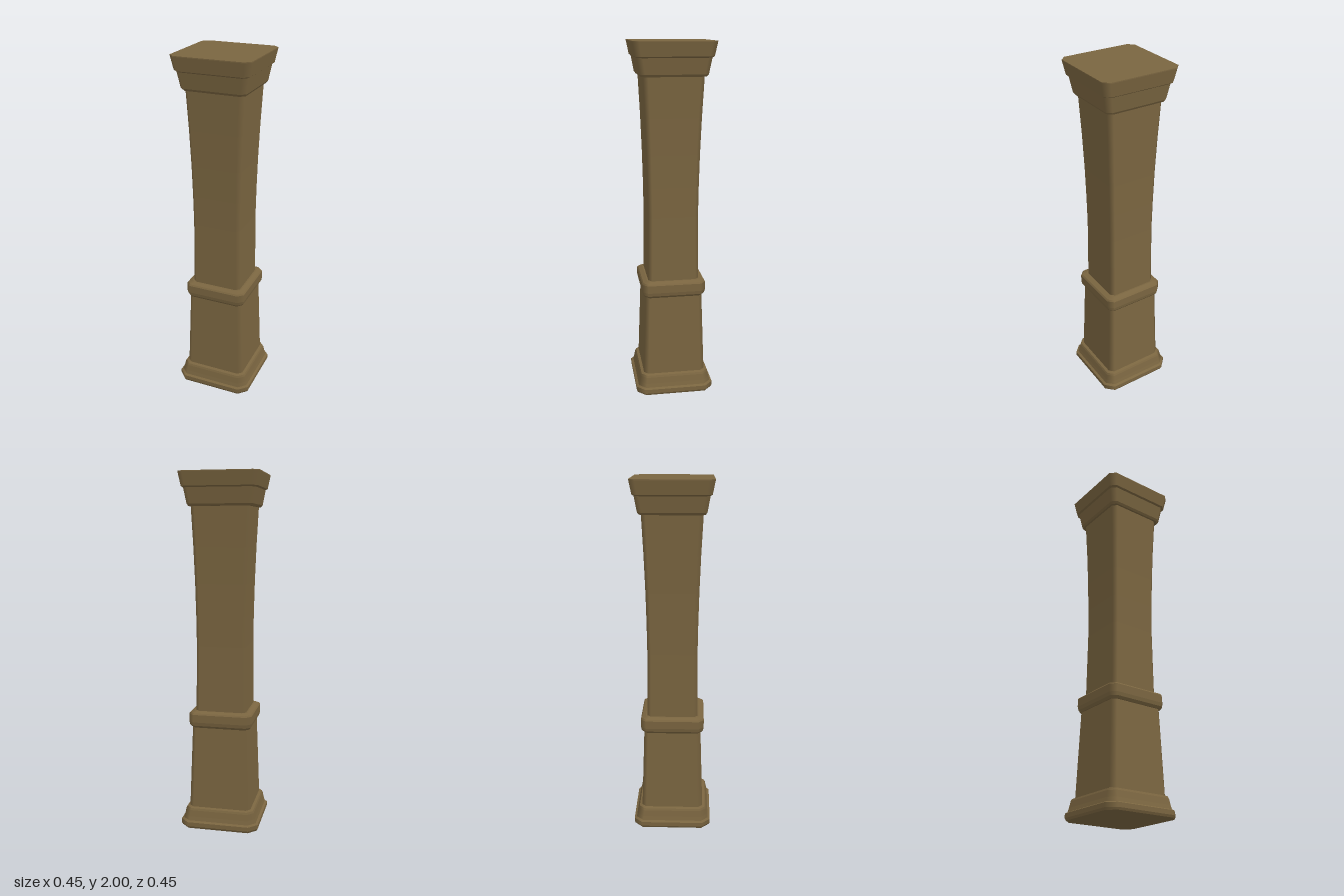
import * as THREE from 'three';

// Square column section with softly shaded chamfered corners, lofted along
// rows of [half width, height, chamfer], listed from bottom to top.
function loft(rows) {
  const positions = [], normals = [], indices = [];
  const addRing = ([half, y, chamfer], out, up) => {
    for (let k = 0; k < 4; k++) {
      const c = Math.round(Math.cos(k * Math.PI / 2));
      const s = Math.round(Math.sin(k * Math.PI / 2));
      for (const t of [-(half - chamfer), half - chamfer]) {
        positions.push(c * half - s * t, y, s * half + c * t);
        normals.push(c * out, up, s * out);
      }
    }
  };
  for (let r = 0; r < rows.length - 1; r++) {
    const dr = rows[r + 1][0] - rows[r][0], dy = rows[r + 1][1] - rows[r][1];
    const length = Math.hypot(dr, dy);
    const start = positions.length / 3;
    addRing(rows[r], dy / length, -dr / length);
    addRing(rows[r + 1], dy / length, -dr / length);
    for (let i = 0; i < 8; i++) {
      const a = start + i, b = start + (i + 1) % 8;
      indices.push(a, a + 8, b + 8, a, b + 8, b);
    }
  }
  const geometry = new THREE.BufferGeometry();
  geometry.setAttribute('position', new THREE.Float32BufferAttribute(positions, 3));
  geometry.setAttribute('normal', new THREE.Float32BufferAttribute(normals, 3));
  geometry.setIndex(indices);
  return geometry;
}

export function createModel() {
  const group = new THREE.Group();
  const wood = new THREE.MeshStandardMaterial({ color: 0x7a6540 });
  wood.name = 'brown wood';
  const add = (name, rows) => {
    const mesh = new THREE.Mesh(loft(rows), wood);
    mesh.name = name;
    group.add(mesh);
  };

  // Plinth with a sloped moulding
  add('base', [
    [0, 0, 0], [0.218, 0, 0.045], [0.224, 0.012, 0.048], [0.224, 0.036, 0.048],
    [0.211, 0.043, 0.04], [0.205, 0.065, 0.037], [0.198, 0.1, 0.034],
    [0.193, 0.111, 0.032], [0.172, 0.118, 0.025],
  ]);

  // Tapered lower shaft
  add('lowerShaft', [[0.178, 0.11, 0.025], [0.161, 0.6, 0.022]]);

  // Rounded band around the shaft
  add('band', [
    [0.155, 0.585, 0.02], [0.166, 0.587, 0.025], [0.176, 0.6, 0.028],
    [0.18, 0.62, 0.03], [0.18, 0.664, 0.03], [0.174, 0.672, 0.028],
    [0.152, 0.68, 0.022], [0.13, 0.68, 0.02],
  ]);

  // Upper shaft, narrow in the middle and flaring to the top
  add('upperShaft', [
    [0.144, 0.66, 0.02], [0.142, 0.85, 0.02], [0.14, 1.05, 0.02],
    [0.142, 1.22, 0.02], [0.146, 1.4, 0.021], [0.153, 1.6, 0.022],
    [0.164, 1.83, 0.024],
  ]);

  // Two-step capital
  add('capital', [
    [0.15, 1.818, 0.02], [0.174, 1.818, 0.024], [0.182, 1.83, 0.025],
    [0.197, 1.915, 0.027], [0.207, 1.922, 0.028], [0.221, 1.995, 0.031],
    [0.221, 2, 0.031], [0, 2, 0],
  ]);

  return group;
}
